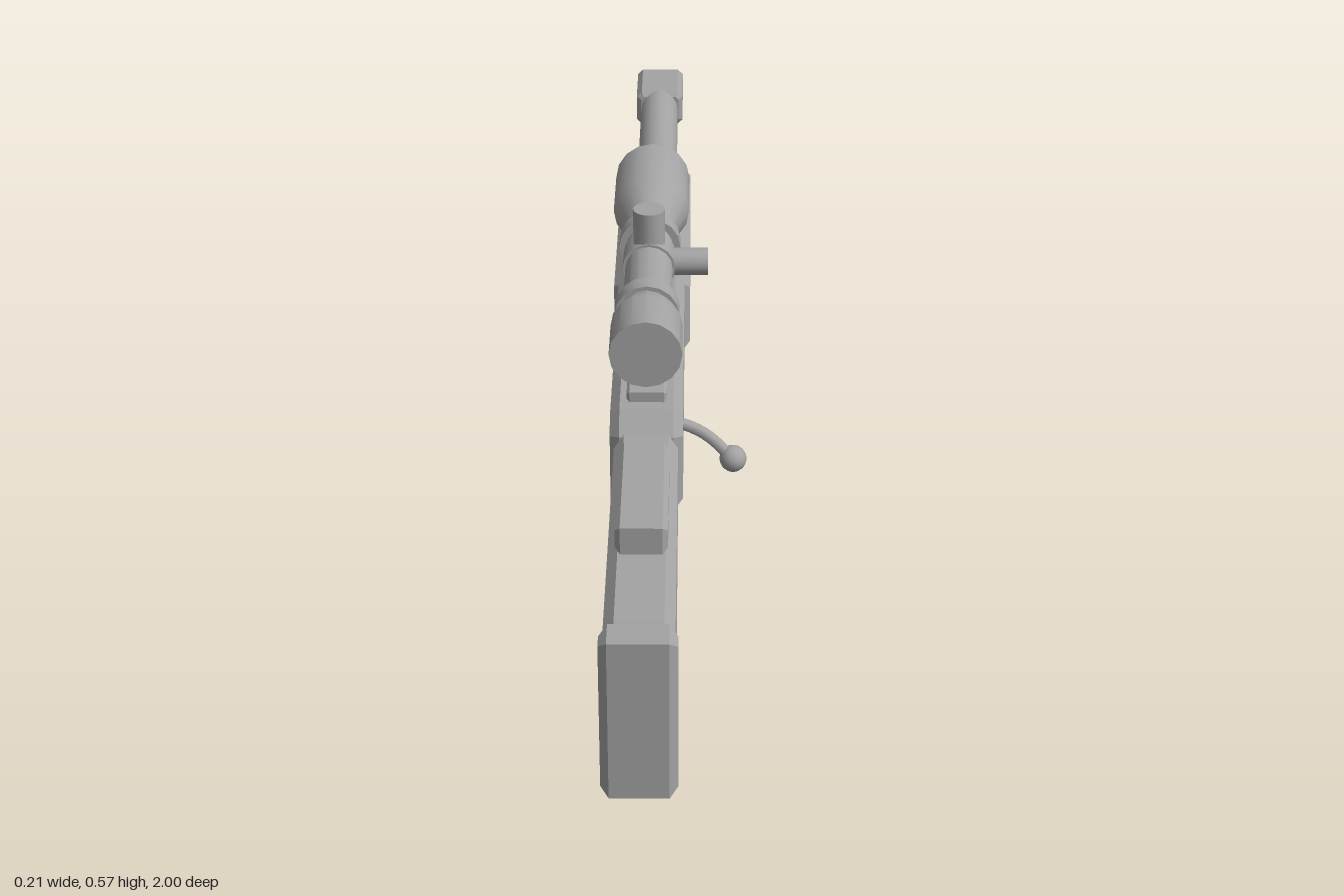
import * as THREE from 'three';
import { toCreasedNormals } from 'three/addons/utils/BufferGeometryUtils.js';

const CX = -0.043; // centre plane of the body
const AXIS = 0.487; // height of the sight axis
const BORE = 0.304; // height of the barrel axis

export function createModel() {
  const group = new THREE.Group();
  const grey = new THREE.MeshStandardMaterial({ color: 0xa3a3a3 });
  grey.name = 'plain grey';

  const add = (name, geometry, x = CX, y = 0, z = 0) => {
    const mesh = new THREE.Mesh(geometry, grey);
    mesh.name = name;
    mesh.position.set(x, y, z);
    group.add(mesh);
    return mesh;
  };

  // Side profile of [z, y] points, extruded across x with chamfered flanks
  const slab = (points, half, bevel) => {
    const shape = new THREE.Shape(points.map(([z, y]) => new THREE.Vector2(z, y)));
    const g = new THREE.ExtrudeGeometry(shape, {
      depth: 2 * (half - bevel), bevelEnabled: bevel > 0, bevelSegments: 1,
      bevelSize: bevel, bevelThickness: bevel, bevelOffset: -bevel, curveSegments: 10,
    });
    g.translate(0, 0, -(half - bevel));
    return g.rotateY(-Math.PI / 2);
  };
  const block = (z0, z1, y0, y1, half, bevel) =>
    slab([[z0, y0], [z1, y0], [z1, y1], [z0, y1]], half, bevel);

  // Turned part along z from [radius, z] points in rising z
  const turned = (points, sides = 16) => {
    const g = new THREE.LatheGeometry(points.map(([r, z]) => new THREE.Vector2(r, z)), sides);
    return toCreasedNormals(g.rotateX(Math.PI / 2), 0.5);
  };

  // Stock, butt pad and cheek rest
  add('stock', slab([[0.475, 0.225], [0.57, 0.222], [0.665, 0.195], [0.89, 0.142], [0.955, 0.17],
    [0.955, 0.33], [0.932, 0.355], [0.475, 0.355]], 0.046, 0.014));
  add('buttPad', block(0.957, 1.0, 0.128, 0.368, 0.05, 0.011));
  add('cheekRest', block(0.575, 0.793, 0.362, 0.402, 0.035, 0.007));
  add('cheekRestBase', block(0.6, 0.77, 0.345, 0.37, 0.022, 0));

  // Pistol grip with finger grooves
  add('grip', slab([[0.47, 0.235], [0.475, 0.19], [0.485, 0.15], [0.515, 0.122], [0.51, 0.088],
    [0.538, 0.068], [0.533, 0.04], [0.553, 0.004], [0.662, 0.004], [0.672, 0.045],
    [0.592, 0.205], [0.59, 0.235]], 0.045, 0.016));

  // Receiver, fore-end and magazine
  add('receiver', slab([[0, 0.225], [0.475, 0.225], [0.475, 0.35], [0.445, 0.38],
    [0.015, 0.38], [0, 0.365]], 0.053, 0.014));
  add('foreEnd', slab([[-0.47, 0.225], [0, 0.225], [0, 0.36], [-0.47, 0.36],
    [-0.495, 0.33], [-0.495, 0.255]], 0.062, 0.018));
  add('magazine', block(0.136, 0.313, 0.12, 0.24, 0.04, 0.006));

  // Trigger guard as a bent strip
  const guard = new THREE.Shape();
  guard.moveTo(0.49, 0.175);
  guard.bezierCurveTo(0.47, 0.1, 0.36, 0.09, 0.312, 0.155);
  guard.lineTo(0.312, 0.235);
  guard.lineTo(0.33, 0.235);
  guard.lineTo(0.332, 0.175);
  guard.bezierCurveTo(0.365, 0.125, 0.45, 0.135, 0.48, 0.2);
  const guardGeometry = new THREE.ExtrudeGeometry(guard, { depth: 0.036, bevelEnabled: false });
  add('triggerGuard', guardGeometry.translate(0, 0, -0.018).rotateY(-Math.PI / 2));
  add('trigger', slab([[0.38, 0.235], [0.405, 0.235], [0.41, 0.205], [0.4, 0.185], [0.387, 0.165],
    [0.394, 0.165], [0.416, 0.185], [0.42, 0.205], [0.416, 0.235]].reverse(), 0.009, 0));

  // Bolt handle
  const boltPath = new THREE.CatmullRomCurve3([[-0.01, 0.342, 0.415], [0.015, 0.336, 0.415],
    [0.045, 0.322, 0.42], [0.083, 0.29, 0.432]].map((p) => new THREE.Vector3(...p)));
  add('boltHandle', new THREE.TubeGeometry(boltPath, 10, 0.009, 8), 0);
  add('boltKnob', new THREE.SphereGeometry(0.02, 14, 10), 0.083, 0.29, 0.432);

  // Barrel and muzzle brake with an open bore
  add('barrel', turned([[0, -0.88], [0.036, -0.88], [0.036, -0.48], [0, -0.48]]), CX, BORE);
  const [w, h, c] = [0.045, 0.034, 0.01];
  const brake = new THREE.Shape([[w, c - h], [w, h - c], [w - c, h], [c - w, h], [-w, h - c],
    [-w, c - h], [c - w, -h], [w - c, -h]].map((p) => new THREE.Vector2(...p)));
  brake.holes.push(new THREE.Path().absarc(0, 0, 0.014, 0, Math.PI * 2, true));
  const brakeGeometry = new THREE.ExtrudeGeometry(brake, {
    depth: 0.119, bevelSegments: 1, bevelSize: 0.008, bevelThickness: 0.008, bevelOffset: -0.008,
  });
  add('muzzleBrake', brakeGeometry, CX, BORE, -0.992);

  // Folded support legs under the fore-end
  for (const side of [-1, 1]) {
    const leg = add('supportLeg', new THREE.BoxGeometry(0.012, 0.011, 0.24),
      CX + side * 0.046, 0.213, -0.32);
    leg.rotation.x = -0.07;
  }

  // Sight rail
  add('rail', block(-0.105, 0.43, 0.383, 0.399, 0.029, 0.004));
  add('railBase', block(-0.09, 0.415, 0.355, 0.39, 0.02, 0));

  // Telescopic sight, turned in one piece
  add('scope', turned([[0, -0.13], [0.06, -0.13], [0.06, 0], [0.036, 0.078], [0.036, 0.345],
    [0.052, 0.39], [0.052, 0.478], [0, 0.478]]), CX, AXIS);

  // Mounting rings with feet
  for (const z of [0.115, 0.343]) {
    add('mountRing', turned([[0.034, -0.015], [0.047, -0.015], [0.047, 0.015], [0.034, 0.015]]),
      CX, AXIS, z);
    add('mountFoot', block(-0.015, 0.015, 0.395, 0.46, 0.026, 0.003), CX, 0, z);
  }

  // Adjustment turrets
  add('topTurret', new THREE.CylinderGeometry(0.024, 0.024, 0.075, 16), CX, 0.537, 0.18);
  const sideTurret = new THREE.CylinderGeometry(0.021, 0.021, 0.075, 16).rotateZ(Math.PI / 2);
  add('sideTurret', sideTurret, 0.009, AXIS, 0.18);
  add('turretHousing', new THREE.CylinderGeometry(0.04, 0.04, 0.05, 16).rotateX(Math.PI / 2),
    CX, AXIS, 0.18);

  return group;
}
